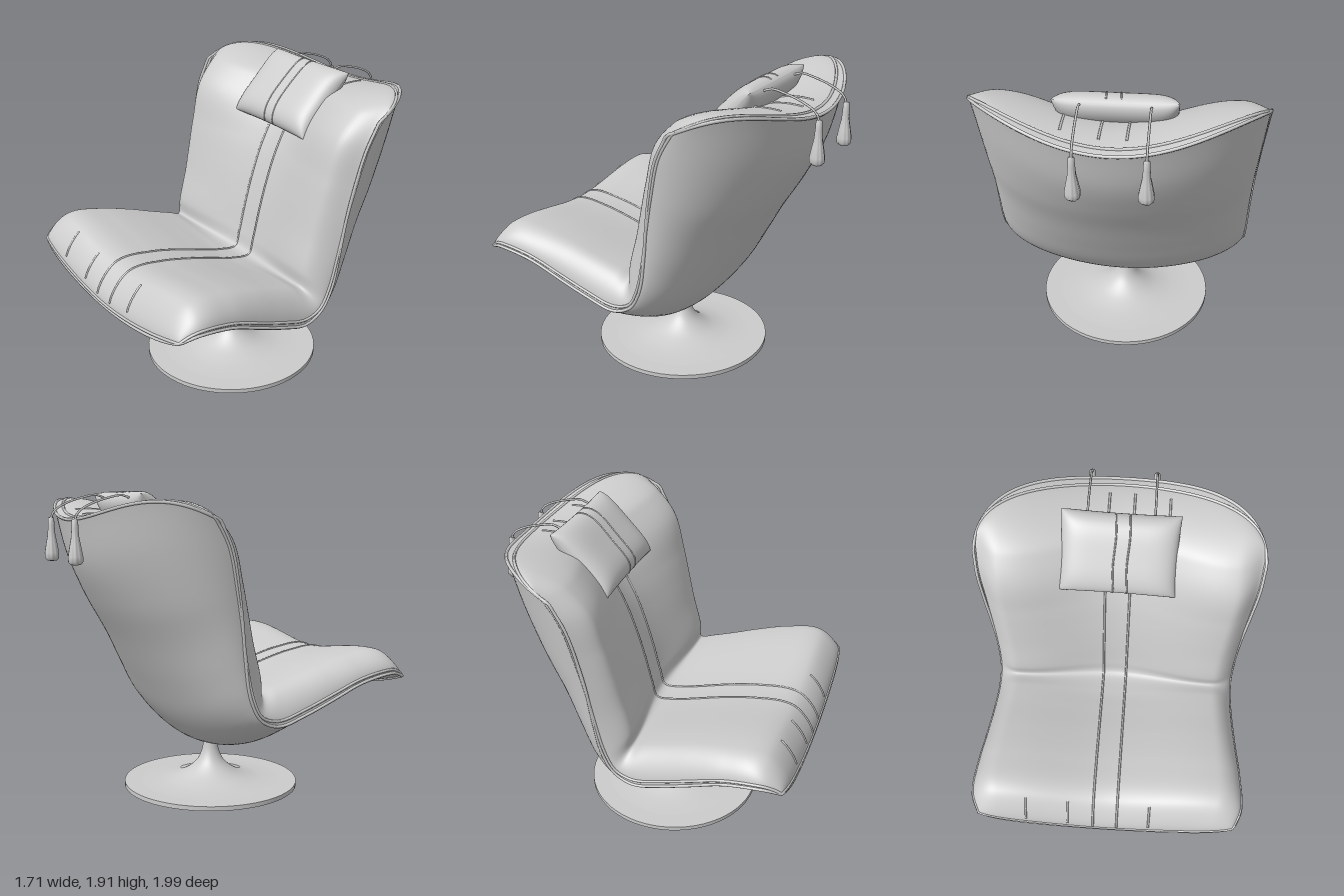
import * as THREE from 'three';

const V = (x, y, z) => new THREE.Vector3(x, y, z);
const curve = (pts) => new THREE.CatmullRomCurve3(pts.map((p) => V(...p)));
const mix = THREE.MathUtils.lerp;
const smooth = THREE.MathUtils.smoothstep;
const HALF_PI = Math.PI / 2;

// Matching stations from the seat front, down through the hip, up to the back top
const shellMid = curve([[0, .635, .98], [0, .615, .8], [0, .55, .6], [0, .43, .4], [0, .335, .22],
  [0, .292, .05], [0, .34, -.14], [0, .49, -.29], [0, .74, -.44], [0, 1, -.585], [0, 1.24, -.73],
  [0, 1.48, -.85], [0, 1.745, -.92]]);
const shellEdge = curve([[.8, .77, .955], [.843, .805, .85], [.832, .765, .62], [.812, .68, .42], [.795, .6, .22],
  [.785, .555, .05], [.78, .605, -.07], [.783, .74, -.145], [.79, .95, -.185], [.803, 1.18, -.215],
  [.82, 1.38, -.25], [.84, 1.6, -.305], [.848, 1.755, -.385]]);
const padMid = curve([[0, .78, 1], [0, .865, .8], [0, .85, .6], [0, .805, .4], [0, .75, .22],
  [0, .71, .08], [0, .7, -.06], [0, .8, -.095], [0, 1, -.145], [0, 1.2, -.205], [0, 1.38, -.275],
  [0, 1.57, -.385], [0, 1.835, -.62]]);
const padEdge = curve([[.8, .86, .985], [.843, .943, .8], [.832, .922, .6], [.812, .87, .4], [.795, .81, .22],
  [.785, .765, .08], [.78, .74, 0], [.783, .84, -.005], [.79, 1.05, -.06], [.803, 1.22, -.1], [.82, 1.4, -.145],
  [.84, 1.65, -.225], [.848, 1.895, -.47]]);

// Outer shell point: v runs right to left (-1..1), t runs front to top (0..1)
function shellPoint(v, t) {
  const c = shellMid.getPoint(t), e = shellEdge.getPoint(t);
  const s = Math.sin(v * HALF_PI), d = Math.cos(v * HALF_PI);
  const k = smooth(t, .35, .75);
  const lift = .27 * s * s * d * smooth(t, .8, 1);
  return V(e.x * s,
    mix(c.y, e.y, mix(s * s, 1 - d, k)) + lift,
    mix(c.z, e.z, mix(s ** 8, 1 - d, k)));
}

const round = (a) => Math.sqrt(1 - (1 - Math.min(1, Math.max(0, a))) ** 2);

// Padding point: swells from the shell rim to the seating surface
function padPoint(v, t) {
  const s = Math.sin(v * HALF_PI);
  const c = padMid.getPoint(t), e = padEdge.getPoint(t);
  const g = smooth(Math.abs(s), 0, .8);
  const top = V(e.x * s, mix(c.y, e.y, g), mix(c.z, e.z, g));
  const swell = round((1 - Math.abs(s)) / .18) * round(t / .07) * round((1 - t) / .04);
  return shellPoint(v, t).lerp(top, swell);
}

// Grid surface from a point rule
function surface(rule, nu, nt, flip = false) {
  const pos = [], index = [];
  for (let j = 0; j <= nt; j++) {
    for (let i = 0; i <= nu; i++) pos.push(...rule(i / nu, j / nt).toArray());
  }
  for (let j = 0; j < nt; j++) {
    for (let i = 0; i < nu; i++) {
      const a = j * (nu + 1) + i, b = a + 1, c = a + nu + 1, d = c + 1;
      if (flip) index.push(a, c, b, b, c, d);
      else index.push(a, b, c, b, d, c);
    }
  }
  const geo = new THREE.BufferGeometry();
  geo.setAttribute('position', new THREE.Float32BufferAttribute(pos, 3));
  geo.setIndex(index);
  geo.computeVertexNormals();
  return geo;
}

// Closer rows near the seat front and the back top
const ease = (q) => mix(q, (1 - Math.cos(q * Math.PI)) / 2, .85);

export function createModel() {
  const model = new THREE.Group();
  const grey = new THREE.MeshStandardMaterial({ color: 0xcccccc });
  grey.name = 'light grey';

  const add = (name, geo, parent = model) => {
    const mesh = new THREE.Mesh(geo, grey);
    mesh.name = name;
    parent.add(mesh);
    return mesh;
  };
  const tube = (name, pts, r, closed = false, parent = model) =>
    add(name, new THREE.TubeGeometry(new THREE.CatmullRomCurve3(pts, closed), pts.length * 2, r, 6, closed), parent);

  // Shell and padding
  add('shell', surface((u, q) => shellPoint(u * 2 - 1, ease(q)), 56, 90, true));
  add('padding', surface((u, q) => padPoint(u * 2 - 1, ease(q)), 72, 140));

  // Rim lip and piping that follow the whole outline
  const outline = (rule, v, t) => {
    const pts = [], n = 36;
    for (let i = 0; i < n; i++) pts.push(rule(mix(-v, v, i / n), t));
    for (let i = 0; i < n; i++) pts.push(rule(v, mix(t, 1 - t, i / n)));
    for (let i = 0; i < n; i++) pts.push(rule(mix(v, -v, i / n), 1 - t));
    for (let i = 0; i < n; i++) pts.push(rule(-v, mix(1 - t, t, i / n)));
    return pts;
  };
  tube('rimLip', outline(shellPoint, 1, 0), .01, true);
  tube('rimPiping', outline(padPoint, .955, .0006), .009, true);

  // Long seams down the middle and short tucks
  const seam = (name, x, t0, t1, n) => {
    const pts = [];
    for (let i = 0; i <= n; i++) {
      const t = ease(mix(t0, t1, i / n));
      pts.push(padPoint(Math.asin(x / padEdge.getPoint(t).x) / HALF_PI, t));
    }
    tube(name, pts, .007);
  };
  for (const x of [-.08, .07]) seam('centreSeam', x, .02, .985, 110);
  for (const x of [-.5, -.24, .27]) seam('seatTuck', x, .03, .13, 12);
  seam('backTuck', .28, .9, .985, 12);

  // Head pillow
  const pillow = new THREE.Group();
  pillow.name = 'headPillow';
  pillow.position.set(-.003, 1.713, -.435);
  pillow.rotation.set(-.77, 0, -.015);
  model.add(pillow);
  const pillowPoint = (side) => (u, q) => {
    const a = Math.sin((u * 2 - 1) * HALF_PI), b = Math.sin((q * 2 - 1) * HALF_PI);
    const puff = Math.sqrt(Math.max(0, (1 - a ** 6) * (1 - b ** 4)));
    return V(a * (.34 + .008 * b * b), b * (.24 + .008 * a * a), side * .088 * puff);
  };
  add('pillowFront', surface(pillowPoint(1), 32, 24), pillow);
  add('pillowBack', surface(pillowPoint(-1), 32, 24, true), pillow);
  for (const u of [.475, .55]) {
    const pts = [];
    for (let i = 0; i <= 16; i++) pts.push(pillowPoint(1)(u + .004 * Math.sin(i * .7), mix(.04, .96, i / 16)));
    tube('pillowSeam', pts, .005, false, pillow);
  }

  // Cords and fluted tassels hanging behind the back
  const profile = [[0, 1.755], [.018, 1.75], [.02, 1.7], [.024, 1.65], [.034, 1.6], [.045, 1.54],
    [.044, 1.51], [.03, 1.495], [0, 1.49]].reverse().map(([r, y]) => new THREE.Vector2(r, y));
  for (const x of [-.197, .193]) {
    const tassel = new THREE.LatheGeometry(profile, 40);
    const p = tassel.attributes.position;
    for (let i = 0; i < p.count; i++) {
      const flute = p.getY(i) < 1.66 ? 1 - .05 * (1 + Math.cos(Math.atan2(p.getZ(i), p.getX(i)) * 10)) : 1;
      p.setX(i, p.getX(i) * flute);
      p.setZ(i, p.getZ(i) * flute);
    }
    tassel.computeVertexNormals();
    add('tassel', tassel).position.set(x, 0, -.955);
    tube('cord', [V(x, 1.86, -.6), V(x, 1.885, -.66), V(x, 1.87, -.75), V(x, 1.835, -.86),
      V(x, 1.79, -.935), V(x, 1.745, -.955)], .007);
  }

  // Trumpet pedestal on a flat disc
  const stem = new THREE.SplineCurve([[.5, .026], [.38, .032], [.28, .046], [.18, .08], [.1, .14], [.06, .21],
    [.045, .29], [.042, .37]].map(([r, y]) => new THREE.Vector2(r, y)));
  add('pedestal', new THREE.LatheGeometry(stem.getPoints(28), 48)).position.z = .035;
  add('baseDisc', new THREE.CylinderGeometry(.565, .565, .028, 64)).position.set(0, .014, .035);

  return model;
}
